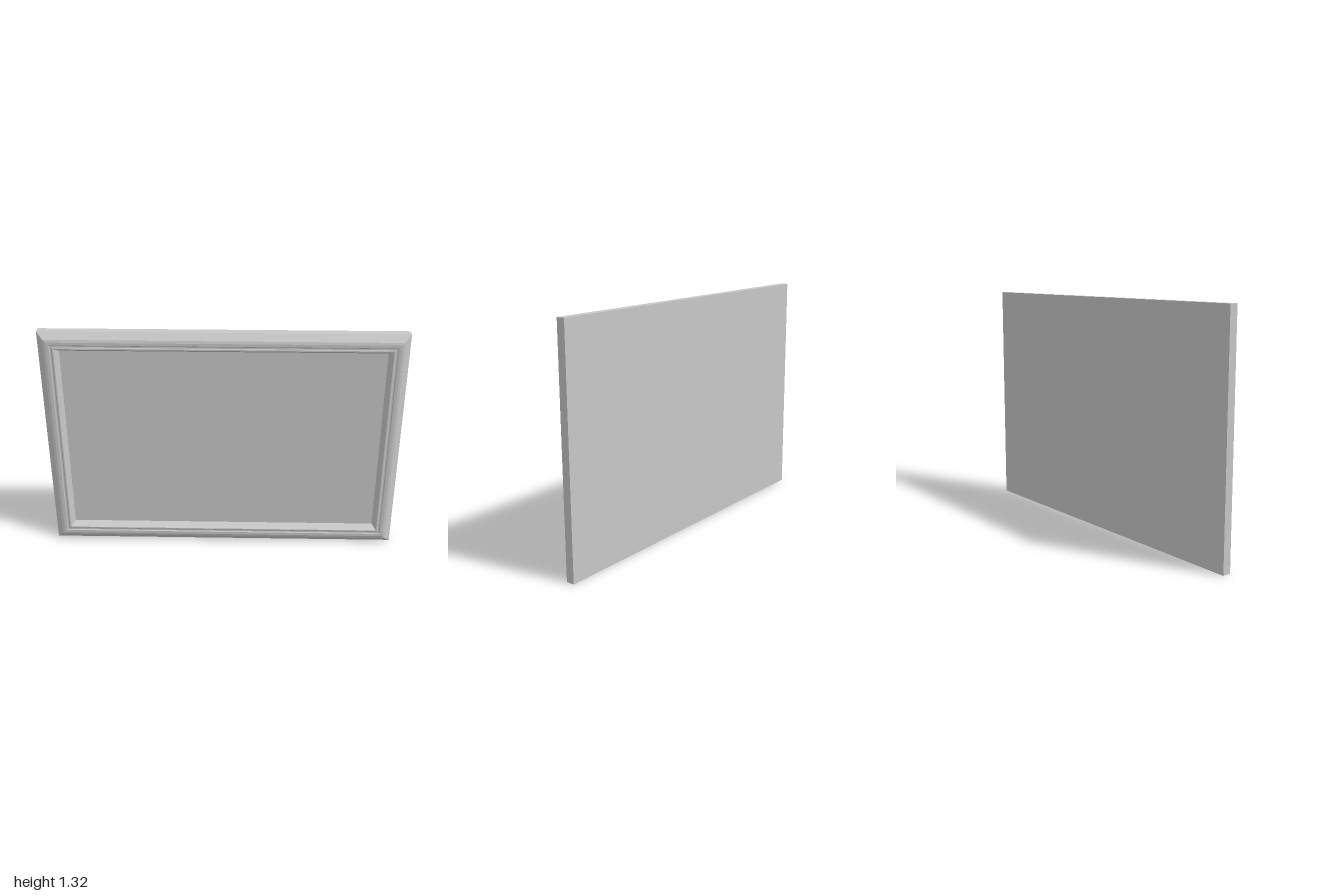
import * as THREE from 'three';

const W = 2, H = 1.32;

// Moulding cross-section from the back edge to the panel: [inset from outer edge, z]
const PROFILE = [
  [0, -0.041], [0, 0.006], [0.036, 0.037], [0.05, 0.041], [0.066, 0.041],
  [0.071, 0.037], [0.078, 0.037], [0.084, 0.04], [0.09, 0.04], [0.112, 0],
];

// Corners of the rectangle at one profile point, anticlockwise from lower left
function ring([inset, z]) {
  const x = W / 2 - inset, top = H - inset;
  return [[-x, inset, z], [x, inset, z], [x, top, z], [-x, top, z]];
}

// Sweeps the profile round the rectangle with mitred corners
function mouldingGeometry() {
  const positions = [];
  for (let i = 0; i < PROFILE.length - 1; i++) {
    const outer = ring(PROFILE[i]), inner = ring(PROFILE[i + 1]);
    for (let k = 0; k < 4; k++) {
      const n = (k + 1) % 4;
      const a = outer[k], b = outer[n], c = inner[n], d = inner[k];
      positions.push(...a, ...b, ...c, ...a, ...c, ...d);
    }
  }
  const geometry = new THREE.BufferGeometry();
  geometry.setAttribute('position', new THREE.Float32BufferAttribute(positions, 3));
  geometry.computeVertexNormals();
  return geometry;
}

export function createModel() {
  const group = new THREE.Group();
  group.name = 'pictureFrame';
  const grey = new THREE.MeshStandardMaterial({ color: 0xc8c8c8 });
  grey.name = 'light grey';

  const add = (name, geometry) => {
    const mesh = new THREE.Mesh(geometry, grey);
    mesh.name = name;
    group.add(mesh);
    return mesh;
  };

  add('frameMoulding', mouldingGeometry());

  // Recessed picture panel
  const [inset, z] = PROFILE[PROFILE.length - 1];
  add('picturePanel', new THREE.PlaneGeometry(W - 2 * inset, H - 2 * inset)).position.set(0, H / 2, z);

  // Flat back
  const back = add('backBoard', new THREE.PlaneGeometry(W, H));
  back.position.set(0, H / 2, PROFILE[0][1]);
  back.rotation.y = Math.PI;

  return group;
}
